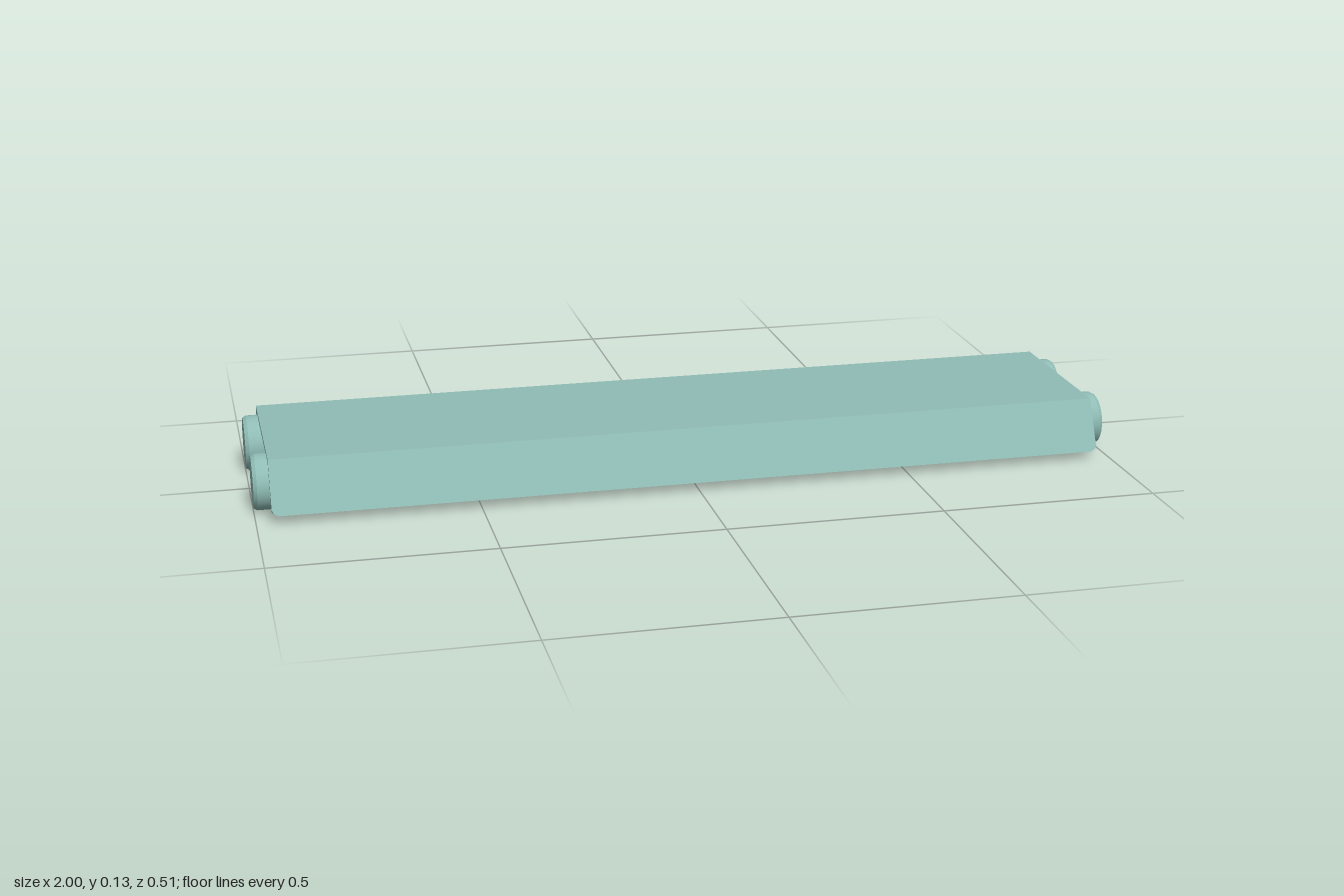
import * as THREE from 'three';
import { toCreasedNormals } from 'three/addons/utils/BufferGeometryUtils.js';

const material = new THREE.MeshStandardMaterial({ color: 0x8fbcb5 });
const SIDES = 24, LAMP_Y = 0.065, LAMP_Z = 0.137;

// Closed trapezoid outline of the folded sheet as [z, y]; cut (0..1) trims the flap tips.
function sheetOutline(cut) {
  const half = [
    [0.197, 0.135],
    [0.254 - 0.0065 * cut, 0.022 + 0.0125 * cut],
    [0.238 - 0.0005 * cut, 0.025 + 0.002 * cut],
    [0.188, 0.1245],
  ];
  return [...half, ...half.map(([z, y]) => [-z, y]).reverse()];
}

// Folded sheet swept along x, with trimmed flap corners at both ends.
function reflectorGeometry() {
  const stations = [[-0.965, 1], [-0.961, 0.4], [-0.95, 0], [0.95, 0], [0.961, 0.4], [0.965, 1]];
  const positions = [], index = [];
  const n = 8, last = (stations.length - 1) * n;
  for (const [x, cut] of stations) {
    for (const [z, y] of sheetOutline(cut)) positions.push(x, y, z);
  }
  for (let s = 0; s < stations.length - 1; s++) {
    for (let i = 0; i < n; i++) {
      const a = s * n + i, b = s * n + (i + 1) % n;
      index.push(a, a + n, b, b, a + n, b + n);
    }
  }
  // End faces: top strip plus one strip per flap
  for (const [a, b, c, d] of [[0, 1, 2, 3], [4, 5, 6, 7], [0, 3, 4, 7]]) {
    index.push(a, b, c, a, c, d);
    index.push(last + a, last + c, last + b, last + a, last + d, last + c);
  }
  const geometry = new THREE.BufferGeometry();
  geometry.setAttribute('position', new THREE.Float32BufferAttribute(positions, 3));
  geometry.setIndex(index);
  return toCreasedNormals(geometry, 0.2);
}

function addMesh(parent, name, geometry) {
  const mesh = new THREE.Mesh(geometry, material);
  mesh.name = name;
  parent.add(mesh);
  return mesh;
}

export function createModel() {
  const model = new THREE.Group();
  model.name = 'twinTubeLight';

  const reflector = addMesh(model, 'reflector', reflectorGeometry());
  reflector.material = material.clone();
  reflector.material.side = THREE.DoubleSide;

  // Socket profile: stepped inner face, cylindrical wall, bevelled outer rim
  const profile = [[0, 0.9], [0.064, 0.9], [0.064, 0.992], [0.059, 1], [0, 1]];
  const socketGeometry = toCreasedNormals(
    new THREE.LatheGeometry(profile.map(([r, h]) => new THREE.Vector2(r, h)), SIDES), 0.45);
  const tubeGeometry = new THREE.CylinderGeometry(0.044, 0.044, 1.81, SIDES, 1, true);

  // Two lamps, each a tube between a pair of sockets
  for (const side of [1, -1]) {
    const lamp = new THREE.Group();
    lamp.name = side > 0 ? 'frontLamp' : 'backLamp';
    lamp.position.set(0, LAMP_Y, side * LAMP_Z);
    addMesh(lamp, 'tube', tubeGeometry).rotation.z = Math.PI / 2;
    addMesh(lamp, 'leftSocket', socketGeometry).rotation.z = -Math.PI / 2;
    addMesh(lamp, 'rightSocket', socketGeometry).rotation.z = Math.PI / 2;
    model.add(lamp);
  }
  return model;
}
